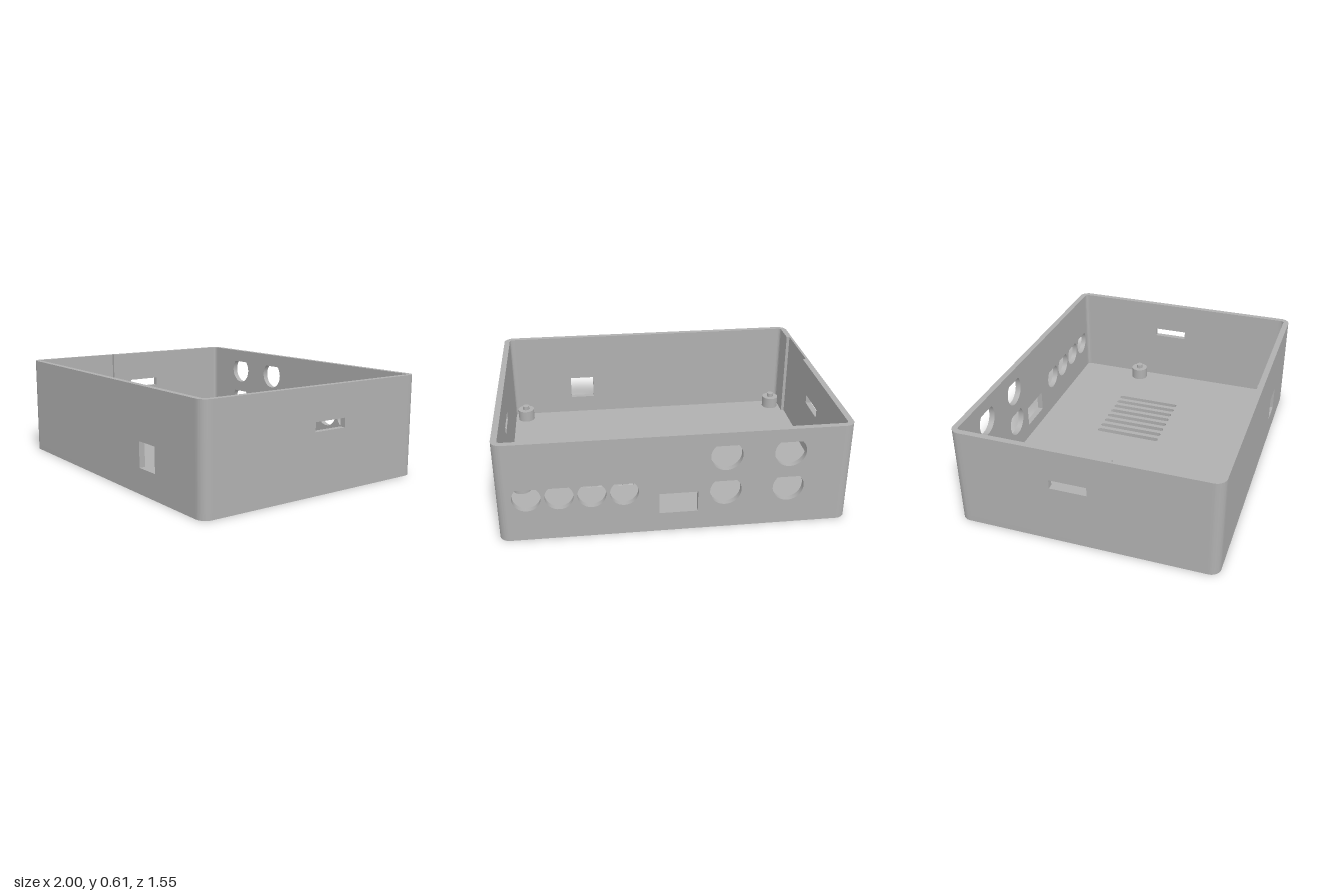
import * as THREE from 'three';
import { toCreasedNormals } from 'three/addons/utils/BufferGeometryUtils.js';

const W = 1, D = 0.775, H = 0.61;        // half width, half depth, height
const T = 0.035, FLOOR = 0.035;          // wall and floor thickness
const R = 0.06, C = 0.07;                // corner radius, corner piece size

export function createModel() {
  const model = new THREE.Group();
  model.name = 'enclosure';
  const grey = new THREE.MeshStandardMaterial({ color: 0xb0b0b0 });
  grey.name = 'grey plastic';

  const add = (name, geometry, x = 0, y = 0, z = 0) => {
    const mesh = new THREE.Mesh(toCreasedNormals(geometry, 0.6), grey);
    mesh.name = name;
    mesh.position.set(x, y, z);
    model.add(mesh);
    return mesh;
  };
  const extrude = (shape, depth) =>
    new THREE.ExtrudeGeometry(shape, { depth, bevelEnabled: false, curveSegments: 16 });

  // Outlines and cut-outs
  const rect = (x0, x1, y0, y1, Type = THREE.Path) => new Type([
    [x0, y0], [x1, y0], [x1, y1], [x0, y1],
  ].map(([x, y]) => new THREE.Vector2(x, y)));
  const circle = (x, y, r) => new THREE.Path().absarc(x, y, r, 0, Math.PI * 2, false);
  const teardrop = (x, y, r) => {
    const p = new THREE.Path().moveTo(x, y + r * Math.SQRT2);
    p.absarc(x, y, r, Math.PI * 0.75, Math.PI * 2.25, false);
    p.closePath();
    return p;
  };
  const ventSlot = (x, y0, y1, r) => {
    const p = new THREE.Path();
    p.absarc(x, y1 - r, r, 0, Math.PI, false);
    p.absarc(x, y0 + r, r, Math.PI, Math.PI * 2, false);
    p.closePath();
    return p;
  };

  // Floor: an upper sheet with vents, and a lower sheet that also has round foot recesses
  const floorSheet = (name, y, depth, withFeet) => {
    const s = new THREE.Shape();
    s.absarc(W - R, D - R, R, 0, Math.PI / 2, false);
    s.absarc(-W + R, D - R, R, Math.PI / 2, Math.PI, false);
    s.absarc(-W + R, -D + R, R, Math.PI, Math.PI * 1.5, false);
    s.absarc(W - R, -D + R, R, Math.PI * 1.5, Math.PI * 2, false);
    s.closePath();
    for (let i = 0; i < 8; i++) s.holes.push(ventSlot(0.094 + i * 0.0647, -0.094, 0.329, 0.0175));
    if (withFeet) {
      for (const x of [-0.885, 0.885]) for (const z of [-0.66, 0.66]) s.holes.push(circle(x, z, 0.093));
    }
    add(name, extrude(s, depth).rotateX(-Math.PI / 2), 0, y, 0);
  };
  floorSheet('floorUnderside', 0, 0.018, true);
  floorSheet('floor', 0.018, FLOOR - 0.018, false);

  // Rounded corner columns
  const corner = new THREE.Shape();
  corner.moveTo(-C, -T);
  corner.lineTo(-T - 0.02, -T);
  corner.absarc(-T - 0.02, -T - 0.02, 0.02, Math.PI / 2, 0, true);
  corner.lineTo(-T, -C);
  corner.lineTo(0, -C);
  corner.absarc(-R, -R, R, 0, Math.PI / 2, false);
  corner.lineTo(-C, 0);
  corner.closePath();
  [[1, -1], [-1, -1], [-1, 1], [1, 1]].forEach(([sx, sz], i) => {
    const geo = extrude(corner, H - FLOOR).rotateX(-Math.PI / 2).rotateY(i * Math.PI / 2);
    add('corner', geo, sx * W, FLOOR, sz * D);
  });

  // Wall panels
  const panel = (a, b, depth, holes) => {
    const s = rect(a, b, FLOOR, H, THREE.Shape);
    s.holes.push(...holes);
    return extrude(s, depth);
  };
  const endX = W - C, endZ = D - C;

  // Front wall with a square opening
  add('frontWall', panel(-endX, endX, T, [rect(0.4, 0.56, 0.15, 0.3)]), 0, 0, D - T);

  // Back wall with connector holes
  const ports = [rect(-0.12, 0.1, 0.118, 0.245)];
  for (let i = 0; i < 4; i++) ports.push(teardrop(0.295 + i * 0.18, 0.27, 0.08));
  for (const x of [-0.277, -0.637]) for (const y of [0.241, 0.465]) ports.push(teardrop(x, y, 0.09));
  add('backWall', panel(-endX, endX, T, ports), 0, 0, -D);

  // Side walls with narrow slots; the -x wall is thinned by an inner recess
  const sideSlot = () => rect(-0.19, 0.03, 0.36, 0.415);
  const side = (name, x, a, b, depth, holes) =>
    add(name, panel(a, b, depth, holes).rotateY(-Math.PI / 2), x, 0, 0);
  side('leftWall', W, -endZ, endZ, T, [sideSlot()]);
  side('rightWallOuter', -W + 0.015, -endZ, endZ, 0.015, [sideSlot()]);
  side('rightWallInnerBack', -W + T, -endZ, 0.17, T - 0.015, [sideSlot()]);
  side('rightWallInnerFront', -W + T, 0.57, endZ, T - 0.015, []);

  // Mounting posts with locating pins
  for (const [x, z] of [[-0.9, -0.675], [0.89, -0.295], [-0.9, 0.665], [0.89, 0.665]]) {
    add('mountingPost', new THREE.CylinderGeometry(0.055, 0.055, 0.075, 32), x, FLOOR + 0.0375, z);
    add('postPin', new THREE.CylinderGeometry(0.022, 0.022, 0.025, 24), x, FLOOR + 0.0875, z);
  }
  return model;
}
